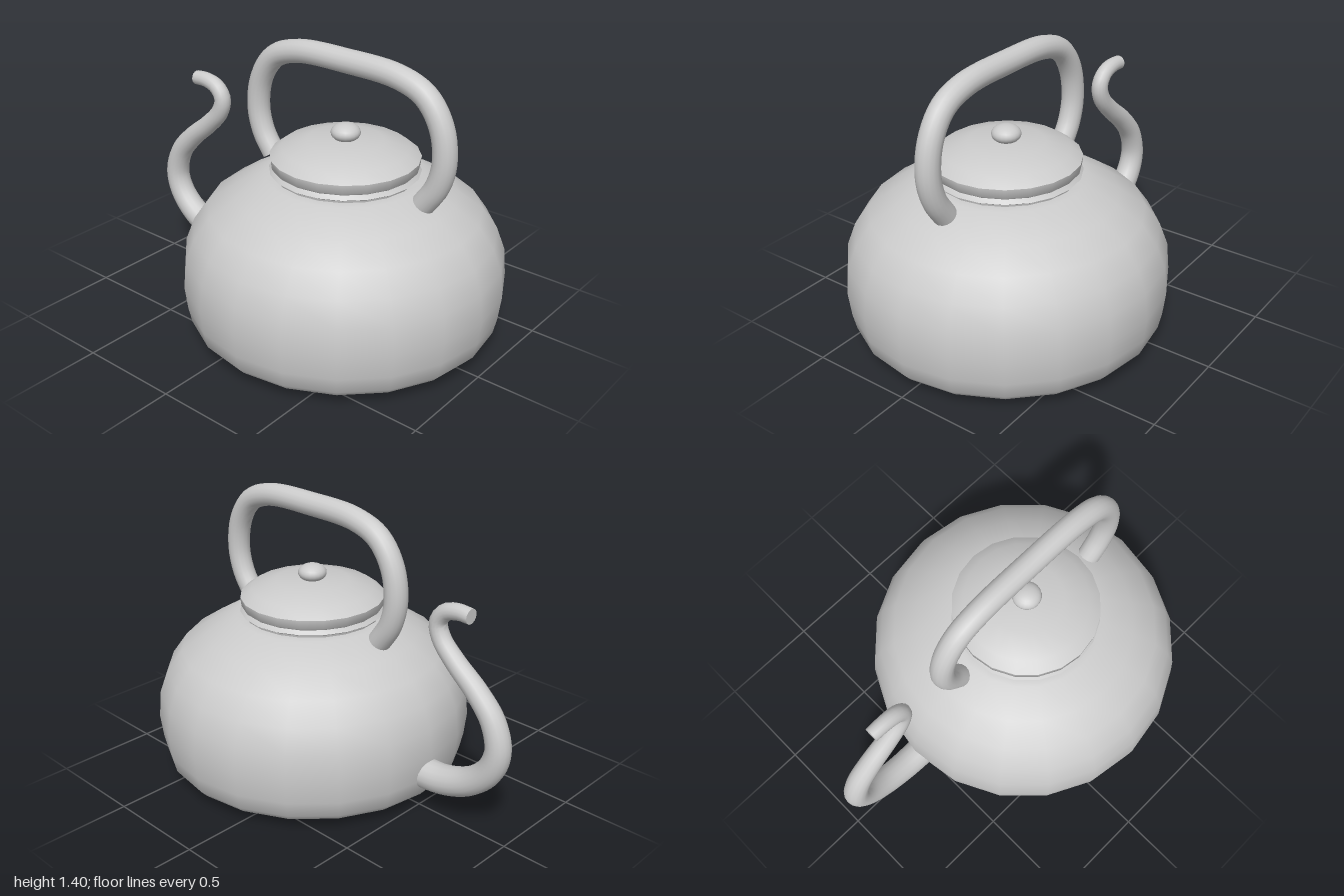
import * as THREE from 'three';
import { toCreasedNormals } from 'three/addons/utils/BufferGeometryUtils.js';

const CENTRE_X = 0.215;
const SIDES = 20;
const material = new THREE.MeshStandardMaterial({ color: 0xcccccc, side: THREE.DoubleSide });

function addMesh(parent, name, geometry) {
  const mesh = new THREE.Mesh(geometry, material);
  mesh.name = name;
  parent.add(mesh);
  return mesh;
}

// Turned part about the pot's axis, from [radius, height] pairs
function turned(profile) {
  const points = profile.map(([r, y]) => new THREE.Vector2(r, y));
  return toCreasedNormals(new THREE.LatheGeometry(points, SIDES), 0.8);
}

// Capped round tube through [x, y] points in the z = 0 plane, tapering from r0 to r1
function taperedTube(path, r0, r1, steps, sides) {
  const curve = new THREE.CatmullRomCurve3(path.map(([x, y]) => new THREE.Vector3(x, y, 0)));
  const tube = new THREE.TubeGeometry(curve, steps, 1, sides, false);
  const pos = tube.attributes.position;
  const p = new THREE.Vector3();
  const index = Array.from(tube.index.array);
  const positions = [];
  const ring = sides + 1;
  for (let i = 0; i < pos.count; i++) {
    const t = Math.floor(i / ring) / steps;
    const c = curve.getPointAt(t);
    p.fromBufferAttribute(pos, i).sub(c).multiplyScalar(r0 + (r1 - r0) * t).add(c);
    positions.push(p.x, p.y, p.z);
  }
  // End caps as fans around the path's end points
  [0, 1].forEach((end) => {
    const c = curve.getPointAt(end);
    const hub = positions.length / 3;
    positions.push(c.x, c.y, c.z);
    const first = end * steps * ring;
    for (let j = 0; j < sides; j++) {
      const a = first + j, b = first + j + 1;
      index.push(hub, ...(end ? [b, a] : [a, b]));
    }
  });
  const geometry = new THREE.BufferGeometry();
  geometry.setAttribute('position', new THREE.Float32BufferAttribute(positions, 3));
  geometry.setIndex(index);
  return toCreasedNormals(geometry, 0.9);
}

export function createModel() {
  const kettle = new THREE.Group();
  kettle.name = 'kettle';

  // Squat round pot with a flat shoulder under the lid
  const body = addMesh(kettle, 'body', turned([
    [0, 0], [0.38, 0.004], [0.65, 0.028], [0.72, 0.058], [0.75, 0.092], [0.767, 0.17],
    [0.78, 0.285], [0.767, 0.42], [0.725, 0.53], [0.65, 0.635], [0.53, 0.715],
    [0.38, 0.8], [0.33, 0.802], [0, 0.802],
  ]));
  body.position.x = CENTRE_X;

  // Lid with a flared lip, straight band and shallow dome
  const lid = new THREE.Group();
  lid.name = 'lid';
  lid.position.x = CENTRE_X;
  kettle.add(lid);
  addMesh(lid, 'lidDome', turned([
    [0.335, 0.79], [0.34, 0.812], [0.357, 0.822], [0.34, 0.84], [0.349, 0.848],
    [0.354, 0.892], [0.3, 0.932], [0.18, 0.966], [0, 0.972],
  ]));
  const knob = addMesh(lid, 'lidKnob', new THREE.SphereGeometry(1, 20, 14));
  knob.scale.set(0.07, 0.044, 0.07);
  knob.position.y = 1.001;

  // Arched handle, mirrored about the pot's axis
  const half = [[0.445, 0.775], [0.51, 0.875], [0.54, 1.0], [0.515, 1.155], [0.43, 1.275], [0.29, 1.33]];
  const arch = [
    ...half.map(([x, y]) => [CENTRE_X - x, y]),
    [CENTRE_X, 1.343],
    ...half.map(([x, y]) => [CENTRE_X + x, y]).reverse(),
  ];
  addMesh(kettle, 'handle', taperedTube(arch, 0.056, 0.056, 64, 16));

  // Swan-neck spout
  addMesh(kettle, 'spout', taperedTube([
    [-0.48, 0.188], [-0.65, 0.2], [-0.8, 0.26], [-0.9, 0.36], [-0.933, 0.47], [-0.895, 0.6],
    [-0.8, 0.71], [-0.68, 0.81], [-0.595, 0.9], [-0.573, 0.975], [-0.61, 1.03], [-0.68, 1.052],
    [-0.75, 1.05],
  ], 0.077, 0.036, 56, 16));

  return kettle;
}
